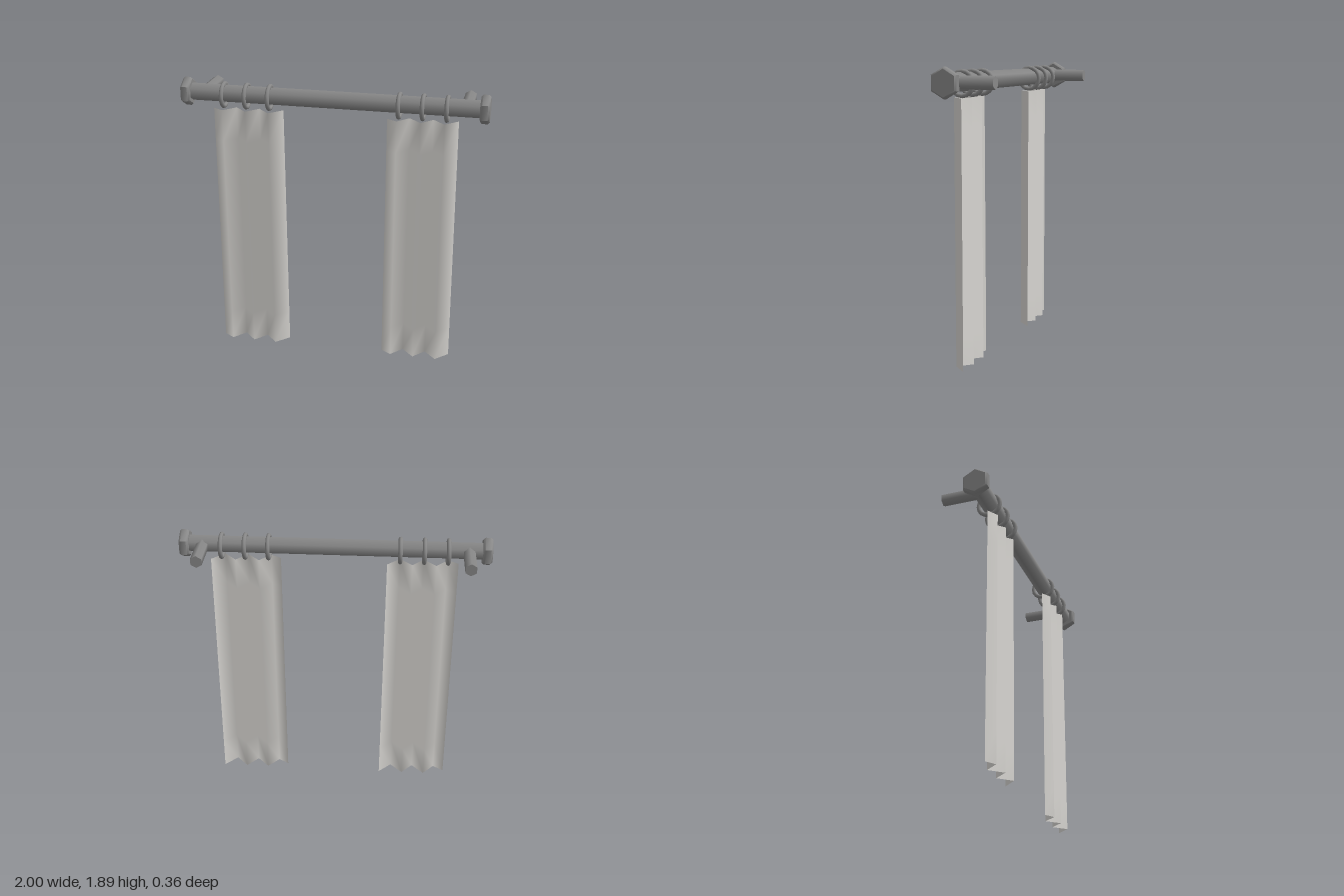
import * as THREE from 'three';
import { toCreasedNormals } from 'three/addons/utils/BufferGeometryUtils.js';

const AXIS_Y = 1.797, AXIS_Z = 0.09;

// Pleated sheet: a zigzag cross-section hung between a top and a bottom edge.
function pleatedSheet(topX, bottomX, topY, bottomY) {
  const folds = [[0, 0.103], [0.15, 0.147], [0.31, 0.062], [0.485, 0.147], [0.645, 0.062], [0.82, 0.147], [1, 0.062]];
  const rows = 8;
  const geo = new THREE.PlaneGeometry(1, 1, folds.length - 1, rows);
  const pos = geo.attributes.position;
  for (let r = 0; r <= rows; r++) {
    const t = r / rows;
    const x0 = THREE.MathUtils.lerp(topX[0], bottomX[0], t);
    const x1 = THREE.MathUtils.lerp(topX[1], bottomX[1], t);
    folds.forEach(([u, z], i) => {
      pos.setXYZ(r * folds.length + i, x0 + (x1 - x0) * u, THREE.MathUtils.lerp(topY, bottomY, t), z);
    });
  }
  geo.computeVertexNormals();
  return geo;
}

export function createModel() {
  const metal = new THREE.MeshStandardMaterial({ color: 0x888888 });
  metal.name = 'grey metal';
  const fabric = new THREE.MeshStandardMaterial({ color: 0xd6d4d0, side: THREE.DoubleSide });
  fabric.name = 'pale fabric';

  const group = new THREE.Group();
  const add = (name, geo, mat, x = 0, y = 0, z = 0) => {
    const mesh = new THREE.Mesh(geo, mat);
    mesh.name = name;
    mesh.position.set(x, y, z);
    group.add(mesh);
  };

  // Six-sided rod with a ridge on top
  const rod = new THREE.CylinderGeometry(0.058, 0.058, 1.9, 6).rotateY(Math.PI / 6).rotateZ(Math.PI / 2);
  add('rod', rod, metal, 0, AXIS_Y, AXIS_Z);

  // Bevelled hexagonal end caps
  const profile = [[0, -0.03], [0.083, -0.03], [0.095, -0.018], [0.095, 0.018], [0.083, 0.03], [0, 0.03]]
    .map(([r, y]) => new THREE.Vector2(r, y));
  const cap = toCreasedNormals(
    new THREE.LatheGeometry(profile, 6).rotateY(Math.PI / 6).rotateZ(Math.PI / 2), 0.8);

  // Wall brackets reaching back from the rod
  const bracket = new THREE.CylinderGeometry(0.041, 0.041, 0.26, 6).rotateX(Math.PI / 2);

  for (const [side, s] of [['left', 1], ['right', -1]]) {
    add(side + 'EndCap', cap, metal, s * 0.97, AXIS_Y, AXIS_Z);
    add(side + 'Bracket', bracket, metal, s * 0.855, AXIS_Y, -0.05);
  }

  // Rings around the rod, three for each curtain
  const ring = new THREE.TorusGeometry(0.074, 0.0145, 8, 16).rotateY(Math.PI / 2);
  for (const x of [-0.725, -0.572, -0.418, 0.43, 0.582, 0.735]) {
    add('ring', ring, metal, x, 1.786, 0.088);
  }

  // Curtains, slightly wider at the hem
  add('rightCurtain', pleatedSheet([-0.795, -0.335], [-0.79, -0.322], 1.697, 0), fabric);
  add('leftCurtain', pleatedSheet([0.355, 0.807], [0.35, 0.813], 1.7, 0.007), fabric);

  return group;
}
